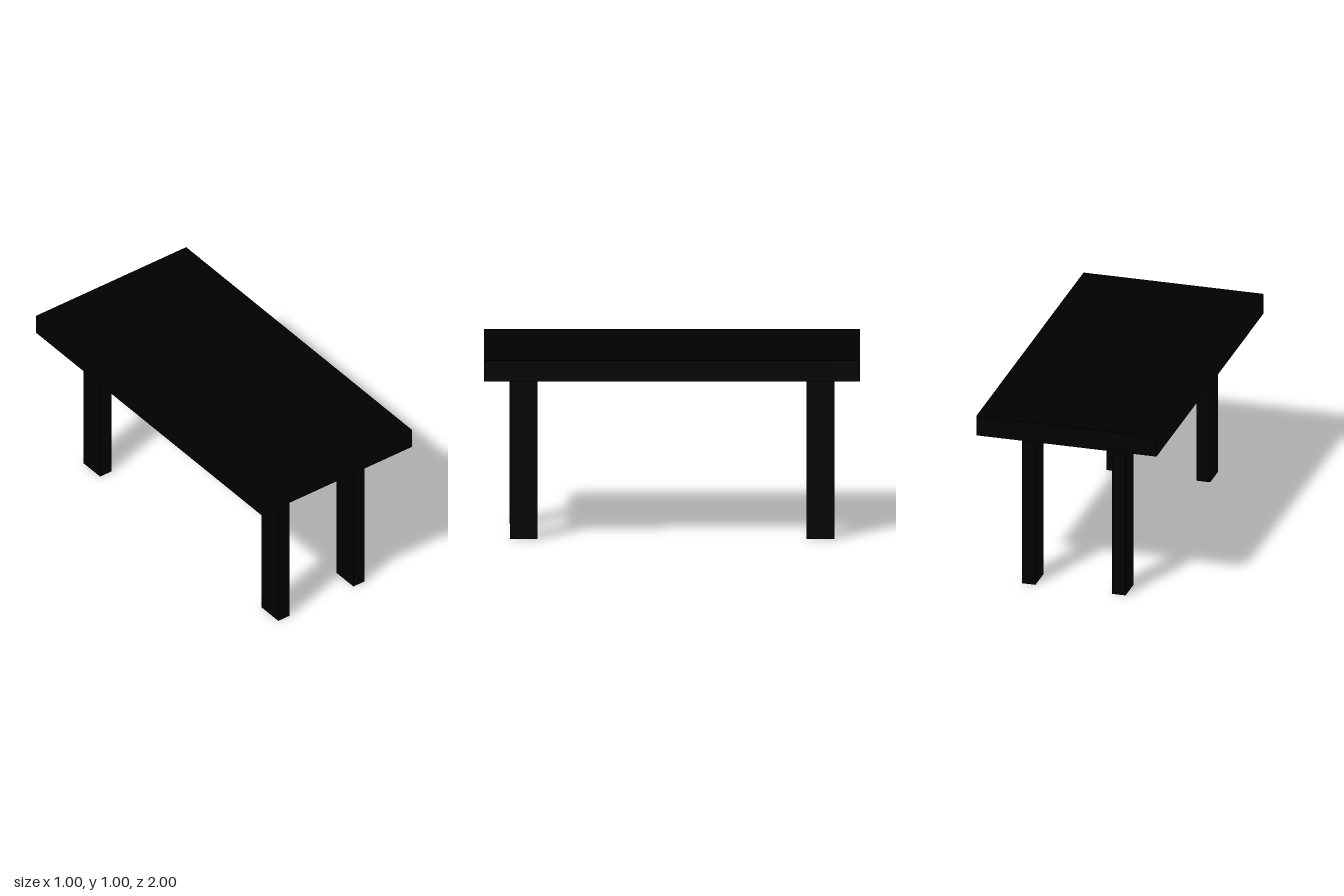
import * as THREE from 'three';

export function createModel() {
  const table = new THREE.Group();
  table.name = 'table';
  const material = new THREE.MeshStandardMaterial({ color: 0x000000 });

  const topBottom = 0.888;

  const addBox = (name, width, height, depth, x, y, z) => {
    const mesh = new THREE.Mesh(new THREE.BoxGeometry(width, height, depth), material);
    mesh.name = name;
    mesh.position.set(x, y, z);
    table.add(mesh);
  };

  // Thick rectangular slab
  addBox('tableTop', 1, 1 - topBottom, 2, 0, (1 + topBottom) / 2, 0);

  // Four rectangular legs, deeper than they are wide
  for (const [end, sz] of [['front', 1], ['back', -1]]) {
    for (const [side, sx] of [['Left', 1], ['Right', -1]]) {
      addBox(`${end}${side}Leg`, 0.075, topBottom, 0.148, sx * 0.25, topBottom / 2, sz * 0.789);
    }
  }

  return table;
}
